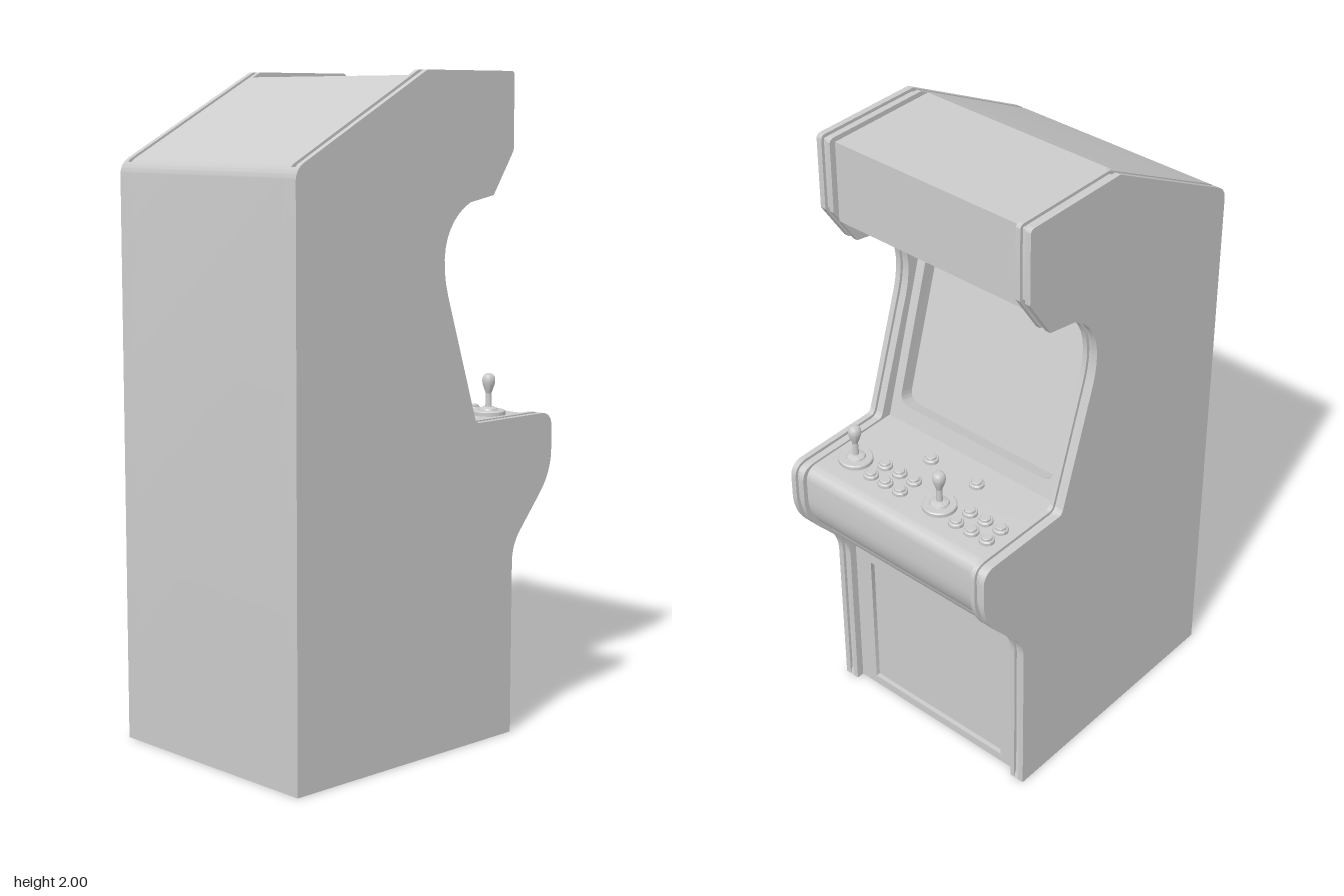
import * as THREE from 'three';
import { toCreasedNormals } from 'three/addons/utils/BufferGeometryUtils.js';

const material = new THREE.MeshStandardMaterial({ color: 0xcccccc });

function addMesh(parent, name, geometry, x = 0, y = 0, z = 0) {
  const mesh = new THREE.Mesh(geometry, material);
  mesh.name = name;
  mesh.position.set(x, y, z);
  parent.add(mesh);
  return mesh;
}

// Extrude a shape along z from z0 to z1, smooth on curves and sharp on corners
function slab(shape, z0, z1) {
  const g = new THREE.ExtrudeGeometry(shape, { depth: z1 - z0, bevelEnabled: false, curveSegments: 10 });
  g.translate(0, 0, z0);
  return toCreasedNormals(g, 0.45);
}

// Rounded rectangle path
function roundedRect(path, x0, y0, x1, y1, r) {
  path.moveTo(x0 + r, y0);
  path.lineTo(x1 - r, y0);
  path.quadraticCurveTo(x1, y0, x1, y0 + r);
  path.lineTo(x1, y1 - r);
  path.quadraticCurveTo(x1, y1, x1 - r, y1);
  path.lineTo(x0 + r, y1);
  path.quadraticCurveTo(x0, y1, x0, y1 - r);
  path.lineTo(x0, y0 + r);
  path.quadraticCurveTo(x0, y0, x0 + r, y0);
  return path;
}

// Flat frame with a rounded opening
function frame(outer, inner, r, depth) {
  const [x0, y0, x1, y1] = outer;
  const s = new THREE.Shape([[x0, y0], [x1, y0], [x1, y1], [x0, y1]].map(p => new THREE.Vector2(...p)));
  s.holes.push(roundedRect(new THREE.Path(), ...inner, r));
  return slab(s, -depth, 0);
}

// Outline of the side panels
function sideOutline() {
  const s = new THREE.Shape();
  s.moveTo(-0.53, 0);
  s.lineTo(0.35, 0);
  s.lineTo(0.35, 0.03);
  s.lineTo(0.35, 0.53);
  s.quadraticCurveTo(0.35, 0.585, 0.385, 0.625);
  s.lineTo(0.475, 0.73);
  s.quadraticCurveTo(0.525, 0.79, 0.525, 0.86);
  s.lineTo(0.525, 0.925);
  s.quadraticCurveTo(0.525, 0.975, 0.475, 0.975);
  s.lineTo(0.2, 0.975);
  s.quadraticCurveTo(0.185, 0.975, 0.18, 0.99);
  s.lineTo(0.06, 1.36);
  s.bezierCurveTo(0.02, 1.49, 0.06, 1.58, 0.15, 1.624);
  s.lineTo(0.25, 1.642);
  s.lineTo(0.335, 1.77);
  s.lineTo(0.335, 1.985);
  s.quadraticCurveTo(0.335, 2, 0.32, 2);
  s.lineTo(-0.03, 2);
  s.lineTo(-0.5, 1.75);
  s.quadraticCurveTo(-0.53, 1.733, -0.53, 1.7);
  return s;
}

// Same outline pulled in along the trimmed edges, for the groove
function grooveOutline(depth) {
  const pts = sideOutline().getPoints(10);
  const n = pts.length;
  return new THREE.Shape(pts.map((p, i) => {
    if (p.x < -0.515 || p.y < 0.02) return p.clone();
    const t = pts[(i + 1) % n].clone().sub(pts[(i + n - 1) % n]).normalize();
    return new THREE.Vector2(p.x - t.y * depth, p.y + t.x * depth);
  }));
}

// Cabinet section between the side panels
function bodyOutline() {
  const s = new THREE.Shape();
  s.moveTo(-0.53, 0);
  s.lineTo(0.31, 0);
  s.lineTo(0.31, 0.61);
  s.lineTo(0.345, 0.61);
  s.quadraticCurveTo(0.425, 0.64, 0.43, 0.73);
  s.lineTo(0.455, 0.73);
  s.quadraticCurveTo(0.51, 0.79, 0.51, 0.86);
  s.lineTo(0.51, 0.92);
  s.quadraticCurveTo(0.51, 0.968, 0.465, 0.968);
  s.lineTo(0.1, 0.968);
  s.lineTo(-0.12, 1.71);
  s.lineTo(0.3, 1.73);
  s.lineTo(0.315, 1.735);
  s.lineTo(0.315, 1.985);
  s.lineTo(-0.058, 1.985);
  s.lineTo(-0.5, 1.75);
  s.quadraticCurveTo(-0.53, 1.733, -0.53, 1.7);
  return s;
}

const lathe = (points, segments = 24) =>
  toCreasedNormals(new THREE.LatheGeometry(points.map(p => new THREE.Vector2(...p)), segments), 0.6);

function createButton(parent, x, z) {
  const profile = [[0.023, 0], [0.023, 0.01], [0.02, 0.014], [0.017, 0.014], [0.017, 0.011],
    [0.016, 0.011], [0.016, 0.018], [0.014, 0.02], [0, 0.02]];
  addMesh(parent, 'button', lathe(profile), x, 0.967, z);
}

function createJoystick(parent, x, z) {
  const stick = new THREE.Group();
  stick.name = 'joystick';
  stick.position.set(x, 0.967, z);
  parent.add(stick);
  addMesh(stick, 'joystickPlate', lathe([[0.052, 0], [0.052, 0.012], [0.049, 0.015], [0.03, 0.015],
    [0.027, 0.021], [0.018, 0.025], [0, 0.026]]));
  addMesh(stick, 'joystickShaft', new THREE.CylinderGeometry(0.008, 0.01, 0.07, 16), 0, 0.055, 0);
  addMesh(stick, 'joystickKnob', lathe([[0.008, 0.065], [0.012, 0.075], [0.018, 0.093], [0.02, 0.105],
    [0.0185, 0.115], [0.014, 0.123], [0.007, 0.127], [0, 0.128]]));
}

export function createModel() {
  const model = new THREE.Group();
  model.name = 'arcadeCabinet';

  addMesh(model, 'cabinetBody', slab(bodyOutline(), -0.33, 0.33));

  // Side panels: two full layers around a recessed trim groove
  for (const side of [1, -1]) {
    const panel = new THREE.Group();
    panel.name = side > 0 ? 'sidePanelNear' : 'sidePanelFar';
    model.add(panel);
    const layers = [[0.33, 0.345, 'panelInnerLayer'], [0.345, 0.362, 'trimGroove'], [0.362, 0.38, 'panelOuterLayer']];
    for (const [a, b, name] of layers) {
      const shape = name === 'trimGroove' ? grooveOutline(0.01) : sideOutline();
      addMesh(panel, name, side > 0 ? slab(shape, a, b) : slab(shape, -b, -a));
    }
  }

  // Tilted bezel around the recessed screen
  const bezel = addMesh(model, 'screenBezel',
    frame([-0.33, 0, 0.33, 0.777], [-0.3, 0.057, 0.3, 0.735], 0.04, 0.05), 0.15, 0.965, 0);
  bezel.rotation.set(-0.287, Math.PI / 2, 0, 'YXZ');

  // Frame around the recessed front door
  const door = addMesh(model, 'doorFrame',
    frame([-0.33, 0, 0.33, 0.61], [-0.267, 0.03, 0.267, 0.52], 0.001, 0.015), 0.325, 0, 0);
  door.rotation.y = Math.PI / 2;

  // Controls for two players and the start buttons
  for (const z of [-0.083, 0.252]) {
    createJoystick(model, 0.378, z);
    for (const x of [0.345, 0.405])
      for (const dz of [0.088, 0.146, 0.204]) createButton(model, x, z - dz);
  }
  for (const z of [0.08, -0.1]) createButton(model, 0.235, z);

  return model;
}
